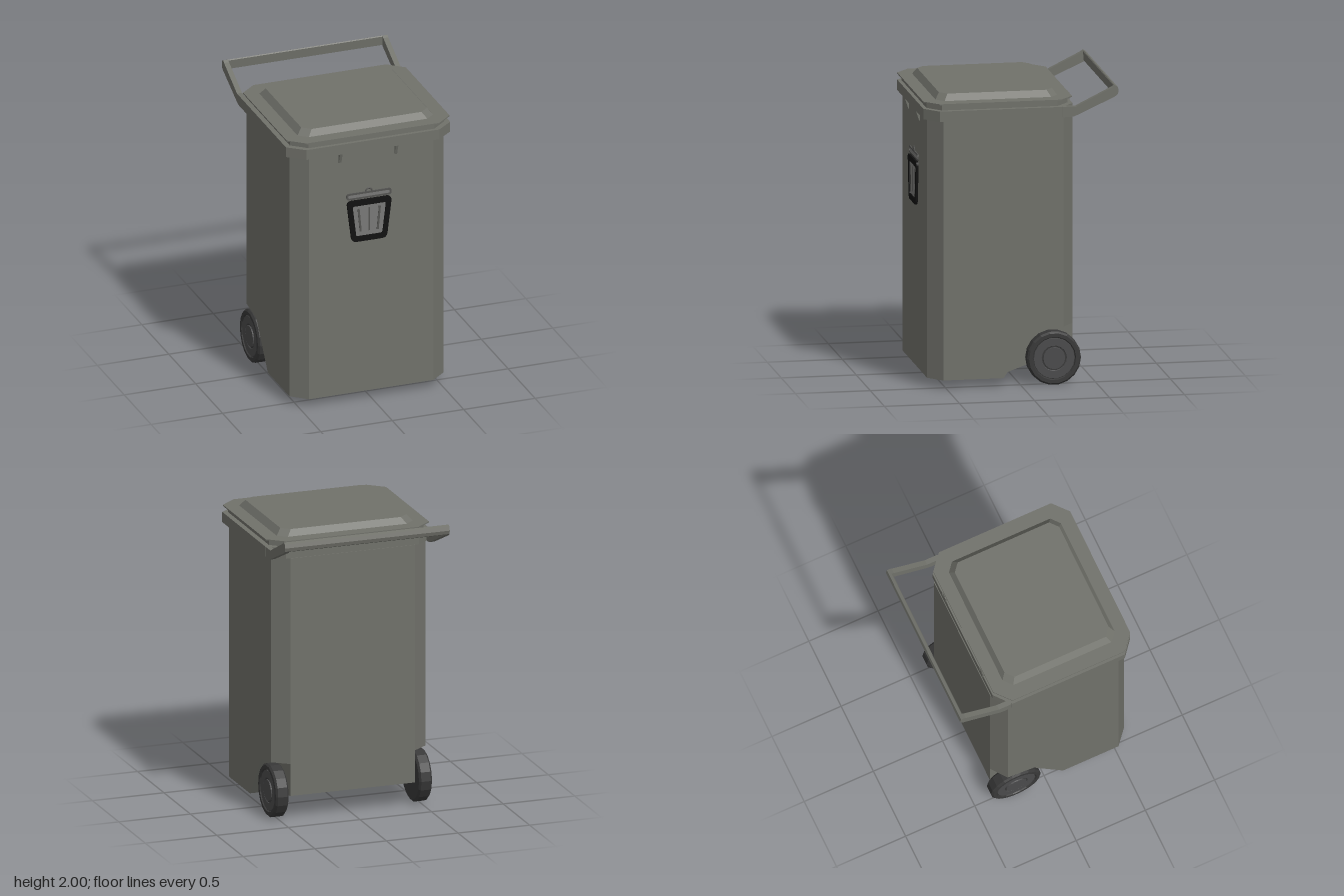
import * as THREE from 'three';

const mat = (name, color, flatShading = true) => {
  const m = new THREE.MeshStandardMaterial({ color, flatShading });
  m.name = name;
  return m;
};

export function createModel() {
  const root = new THREE.Group();
  root.name = 'wheeledBin';
  const plastic = mat('grey green plastic', 0x70716a);
  const rubber = mat('dark rubber', 0x383838);
  const hubGrey = mat('hub grey', 0x4a4a4b);
  const black = mat('black trim', 0x111111);
  const panelGrey = mat('panel grey', 0x797977);
  const ribGrey = mat('rib grey', 0x545452);

  const add = (name, geometry, material, parent = root) => {
    const mesh = new THREE.Mesh(geometry, material);
    mesh.name = name;
    parent.add(mesh);
    return mesh;
  };
  const poly = (pts) => new THREE.Shape(pts.map(([a, b]) => new THREE.Vector2(a, b)));
  const extrude = (shape, depth) =>
    new THREE.ExtrudeGeometry(shape, { depth, bevelEnabled: false, curveSegments: 5 });

  // Side profile given as [z, y], swept between two x positions
  const sweepX = (pts, x0, x1) =>
    extrude(poly(pts), x1 - x0).rotateY(-Math.PI / 2).translate(x1, 0, 0);

  // Upright prism with four cut corners
  const cutBox = (hx, zBack, zFront, cx, cz, y0, y1) =>
    extrude(poly([
      [-hx + cx, -zFront], [hx - cx, -zFront], [hx, -zFront + cz], [hx, -zBack - cz],
      [hx - cx, -zBack], [-hx + cx, -zBack], [-hx, -zBack - cz], [-hx, -zFront + cz],
    ]), y1 - y0).rotateX(-Math.PI / 2).translate(0, y0, 0);

  const moveVertices = (g, rule) => {
    const p = g.attributes.position;
    const v = new THREE.Vector3();
    for (let i = 0; i < p.count; i++) {
      rule(v.fromBufferAttribute(p, i));
      p.setXYZ(i, v.x, v.y, v.z);
    }
    g.computeVertexNormals();
    return g;
  };

  // Body: middle slab and two side slabs with wheel cutouts and cut corners
  add('bodyCentre', sweepX([
    [0.61, 0.06], [0.61, 1.8], [-0.36, 1.8], [-0.36, 0.17], [-0.1, 0.14], [0.12, 0.06],
  ], -0.435, 0.435), plastic);
  const sideProfile = [
    [0.61, 0.06], [0.61, 1.8], [-0.36, 1.8], [-0.36, 0.39], [-0.09, 0.36], [0.12, 0.06],
  ];
  for (const s of [-1, 1]) {
    const g = s > 0 ? sweepX(sideProfile, 0.435, 0.54) : sweepX(sideProfile, -0.54, -0.435);
    moveVertices(g, (v) => {
      if (Math.abs(v.x) > 0.5) v.z = THREE.MathUtils.clamp(v.z, -0.28, 0.52);
    });
    add(s > 0 ? 'bodyLeftSide' : 'bodyRightSide', g, plastic);
  }

  // Rim and lid
  add('rim', cutBox(0.575, -0.355, 0.64, 0.11, 0.09, 1.8, 1.87), plastic);
  add('lidCore', cutBox(0.54, -0.325, 0.615, 0.1, 0.085, 1.87, 1.912), plastic);
  add('lidFlange', cutBox(0.57, -0.35, 0.64, 0.105, 0.09, 1.91, 1.918), plastic);
  const dome = cutBox(0.475, -0.26, 0.55, 0.06, 0.05, 1.918, 1.96);
  moveVertices(dome, (v) => {
    if (v.y < 1.95) return;
    v.x *= 0.44 / 0.475;
    v.z = 0.145 + (v.z - 0.145) * (0.377 / 0.405);
  });
  add('lidTop', dome, plastic);

  // Hinge lugs
  for (const x of [-0.29, 0.29]) {
    for (const dx of [-0.025, 0.025]) {
      add('hingeLug', new THREE.BoxGeometry(0.014, 0.05, 0.035).translate(x + dx, 1.885, -0.342), plastic);
    }
    add('hingePin', new THREE.CylinderGeometry(0.012, 0.012, 0.05, 8)
      .rotateZ(Math.PI / 2).translate(x, 1.885, -0.343), plastic);
  }

  // Handle: two raked arms and a cross bar
  const arm = [
    [-0.27, 1.8], [-0.27, 1.87], [-0.36, 1.87], [-0.6, 1.988], [-0.617, 2],
    [-0.634, 1.992], [-0.642, 1.965], [-0.635, 1.94], [-0.615, 1.925], [-0.35, 1.805], [-0.32, 1.8],
  ];
  add('handleArmLeft', sweepX(arm, 0.54, 0.575), plastic);
  add('handleArmRight', sweepX(arm, -0.575, -0.54), plastic);
  add('handleBar', sweepX([
    [-0.612, 1.994], [-0.617, 2], [-0.634, 1.992], [-0.642, 1.965], [-0.635, 1.94], [-0.618, 1.932],
  ], -0.545, 0.545), plastic);

  // Wheels
  const tyre = [[0, -0.045], [0.165, -0.045], [0.18, -0.033], [0.18, 0.033],
    [0.168, 0.045], [0.145, 0.045], [0.14, 0.036], [0, 0.036]];
  const hub = [[0.139, 0.03], [0.135, 0.04], [0.085, 0.04], [0.08, 0.034],
    [0.075, 0.034], [0.072, 0.044], [0, 0.044]];
  const lathe = (pts) => new THREE.LatheGeometry(pts.map(([r, h]) => new THREE.Vector2(r, h)), 18);
  for (const s of [-1, 1]) {
    const wheel = new THREE.Group();
    wheel.name = s > 0 ? 'leftWheel' : 'rightWheel';
    add('tyre', lathe(tyre), rubber, wheel);
    add('hub', lathe(hub), hubGrey, wheel);
    add('axle', new THREE.CylinderGeometry(0.03, 0.03, 0.05, 10).translate(0, -0.06, 0), rubber, wheel);
    wheel.position.set(s * 0.5, 0.18, -0.218);
    wheel.rotation.z = -s * Math.PI / 2;
    root.add(wheel);
  }

  // Wedge clips below the rim
  for (const x of [-0.22, 0.17]) {
    add('frontClip', sweepX([[0.6, 1.73], [0.615, 1.73], [0.638, 1.8], [0.6, 1.8]], x - 0.009, x + 0.009), plastic);
  }

  // Rounded trapezoid outline, smoothed at the corners
  const roundedTrapezoid = (Type, top, bottom, y1, y0, r) => {
    const c = [[-top, y1], [-bottom, y0], [bottom, y0], [top, y1]].map(([x, y]) => new THREE.Vector2(x, y));
    const shape = new Type();
    c.forEach((p, i) => {
      const a = c[(i + 3) % 4].clone().sub(p).setLength(r).add(p);
      const b = c[(i + 1) % 4].clone().sub(p).setLength(r).add(p);
      if (i) shape.lineTo(a.x, a.y); else shape.moveTo(a.x, a.y);
      shape.quadraticCurveTo(p.x, p.y, b.x, b.y);
    });
    shape.closePath();
    return shape;
  };

  // Front pictogram: framed tapered panel with ribs, bar and knob
  const badge = new THREE.Group();
  badge.name = 'frontPanel';
  badge.position.set(-0.018, 0, 0.609);
  root.add(badge);
  const frame = roundedTrapezoid(THREE.Shape, 0.158, 0.122, 1.442, 1.146, 0.035);
  frame.holes.push(roundedTrapezoid(THREE.Path, 0.118, 0.092, 1.402, 1.184, 0.012));
  add('panelFrame', extrude(frame, 0.016), black, badge);
  add('panelFace', extrude(roundedTrapezoid(THREE.Shape, 0.12, 0.094, 1.404, 1.182, 0.01), 0.008), panelGrey, badge);
  for (const i of [-1, 0, 1]) {
    const rib = add('panelRib', new THREE.BoxGeometry(i ? 0.014 : 0.008, 0.165, 0.005), ribGrey, badge);
    rib.position.set(i * 0.067, 1.297, 0.009);
    rib.rotation.z = -i * 0.09;
  }
  const bar = roundedTrapezoid(THREE.Shape, 0.158, 0.158, 1.494, 1.448, 0.02);
  bar.holes.push(roundedTrapezoid(THREE.Path, 0.146, 0.146, 1.482, 1.46, 0.01));
  add('barOutline', extrude(bar, 0.008), ribGrey, badge);
  add('barFace', extrude(roundedTrapezoid(THREE.Shape, 0.147, 0.147, 1.483, 1.459, 0.01), 0.005), panelGrey, badge);
  add('knob', new THREE.TorusGeometry(0.021, 0.006, 6, 12, Math.PI).translate(0, 1.494, 0.003), ribGrey, badge);

  return root;
}
